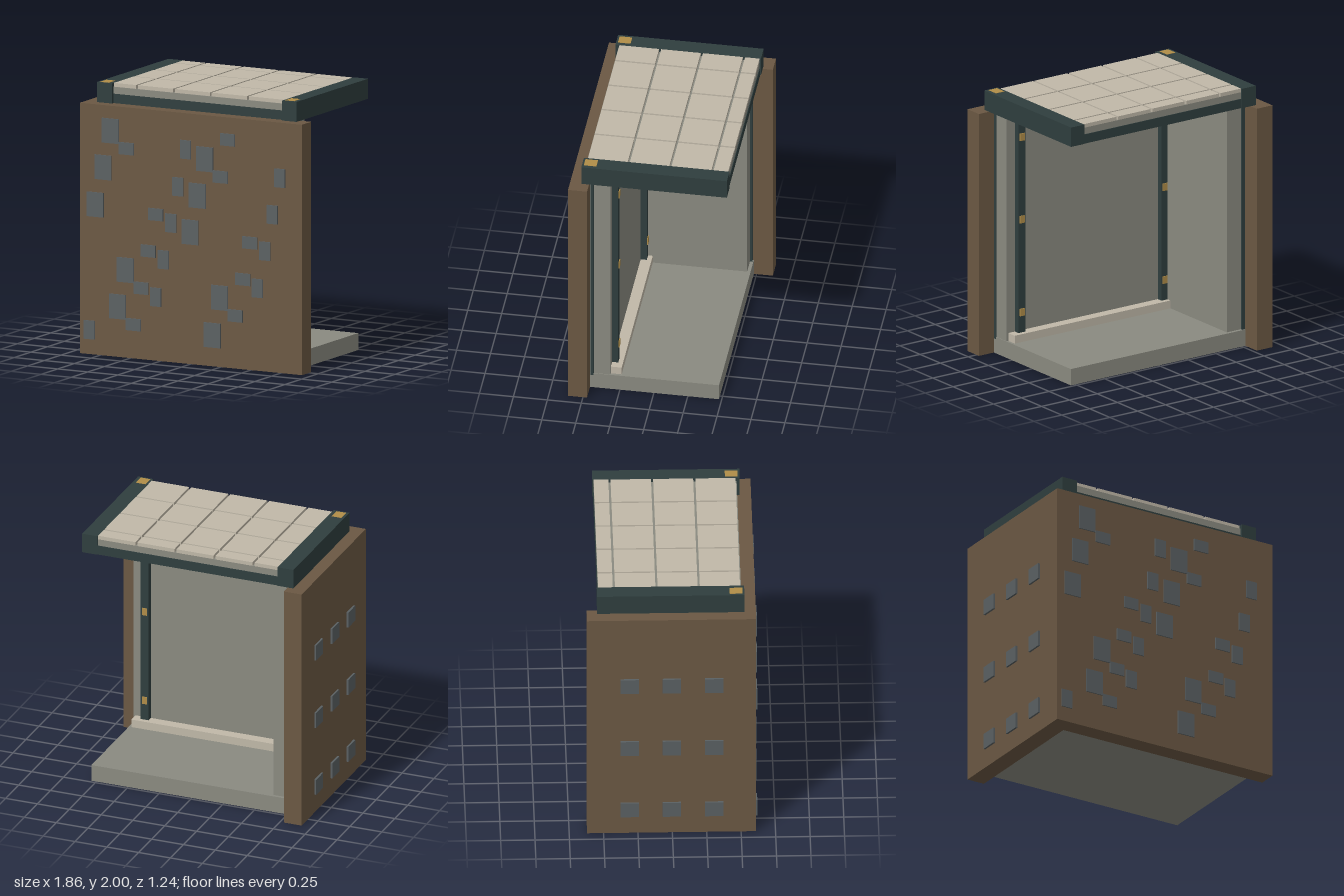
import * as THREE from 'three';

const mat = (name, color) => new THREE.MeshStandardMaterial({ name, color });

export function createModel() {
  const brown = mat('brownWall', 0x6b5843);
  const grey = mat('plasterGrey', 0x8a8a80);
  const dark = mat('darkTeal', 0x2f3e3e);
  const tile = mat('paleTile', 0xc0b8a8);
  const brass = mat('brass', 0xb08d48);
  const slate = mat('slate', 0x5a6062);

  const model = new THREE.Group();
  model.name = 'roomCorner';

  // Box given by its extents along each axis
  function box(name, material, [x0, x1], [y0, y1], [z0, z1], parent = model) {
    const mesh = new THREE.Mesh(new THREE.BoxGeometry(x1 - x0, y1 - y0, z1 - z0), material);
    mesh.position.set((x0 + x1) / 2, (y0 + y1) / 2, (z0 + z1) / 2);
    mesh.name = name;
    parent.add(mesh);
  }
  function group(name) {
    const g = new THREE.Group();
    g.name = name;
    model.add(g);
    return g;
  }

  // Outer walls and floor
  box('frontWall', brown, [-0.92, 0.925], [0, 1.85], [0.47, 0.61]);
  box('sideWall', brown, [-0.92, -0.78], [0, 1.85], [-0.62, 0.47]);
  box('floor', grey, [-0.78, 0.79], [0, 0.125], [-0.48, 0.47]);

  // Inner plaster linings with dark edge trims
  box('frontLining', grey, [-0.78, 0.785], [0.125, 1.85], [0.32, 0.47]);
  box('sideLining', grey, [-0.78, -0.63], [0.125, 1.85], [-0.455, 0.32]);
  box('frontTrim', dark, [0.765, 0.793], [0.11, 1.85], [0.443, 0.465]);
  box('sideTrim', dark, [-0.78, -0.756], [0.125, 1.85], [-0.472, -0.45]);
  box('baseboard', tile, [-0.63, 0.77], [0.125, 0.185], [0.24, 0.32]);

  // Posts on the inside with brass studs
  const posts = group('posts');
  for (const x of [-0.605, 0.68]) {
    box('post', dark, [x - 0.031, x + 0.031], [0.185, 1.85], [0.275, 0.32], posts);
    for (const y of [0.34, 1.05, 1.68])
      box('stud', brass, [x - 0.02, x + 0.02], [y - 0.028, y + 0.028], [0.268, 0.275], posts);
  }

  // Roof: side beams with brass caps, front and back rails, slab
  const roof = group('roof');
  for (const [x0, x1, cx] of [[-0.825, -0.7, -0.768], [0.715, 0.835, 0.77]]) {
    box('sideBeam', dark, [x0, x1], [1.85, 1.998], [-0.545, 0.527], roof);
    box('beamCap', brass, [cx - 0.038, cx + 0.038], [1.995, 2], [0.42, 0.513], roof);
  }
  for (const [z0, z1] of [[-0.54, -0.48], [0.445, 0.505]])
    box('rail', dark, [-0.7, 0.715], [1.85, 1.92], [z0, z1], roof);
  box('roofSlab', grey, [-0.7, 0.715], [1.92, 1.97], [-0.535, 0.505], roof);

  // Roof tiles laid between the joints
  const xs = [-0.708, -0.508, -0.2, 0.105, 0.413, 0.723];
  const zs = [-0.543, -0.42, -0.11, 0.197, 0.505];
  const gap = 0.008;
  for (let i = 0; i < xs.length - 1; i++)
    for (let j = 0; j < zs.length - 1; j++)
      box('roofTile', tile, [xs[i] + gap, xs[i + 1] - gap], [1.97, 1.998],
        [zs[j] + gap, zs[j + 1] - gap], roof);

  // Stones on the front face: half width, half height, then centres
  const stones = group('wallStones');
  const sizes = [
    [0.069, 0.091, [[-0.665, 1.665], [-0.725, 1.39], [-0.79, 1.11], [0.12, 1.525], [0.058, 1.25],
      [-0.003, 0.975], [-0.54, 0.648], [-0.604, 0.372], [0.243, 0.512], [0.182, 0.23]]],
    [0.061, 0.045, [[-0.532, 1.545], [0.25, 1.405], [0.31, 1.685], [-0.288, 1.08], [0.495, 0.94],
      [-0.35, 0.805], [-0.41, 0.525], [-0.473, 0.25], [0.373, 0.39], [0.437, 0.665]]],
    [0.045, 0.069, [[-0.04, 1.582], [0.742, 1.44], [-0.104, 1.302], [0.68, 1.165], [-0.163, 1.028],
      [0.62, 0.89], [-0.225, 0.752], [-0.288, 0.47], [-0.84, 0.18], [0.558, 0.61]]],
  ];
  for (const [w, h, centres] of sizes)
    for (const [x, y] of centres)
      box('frontStone', slate, [x - w, x + w], [y - h, y + h], [0.61, 0.619], stones);

  // Regular rows of stones on the side wall
  for (const y of [0.205, 0.74, 1.28])
    for (const z of [-0.31, -0.003, 0.305])
      box('sideStone', slate, [-0.935, -0.92], [y - 0.06, y + 0.06], [z - 0.067, z + 0.067], stones);

  return model;
}
